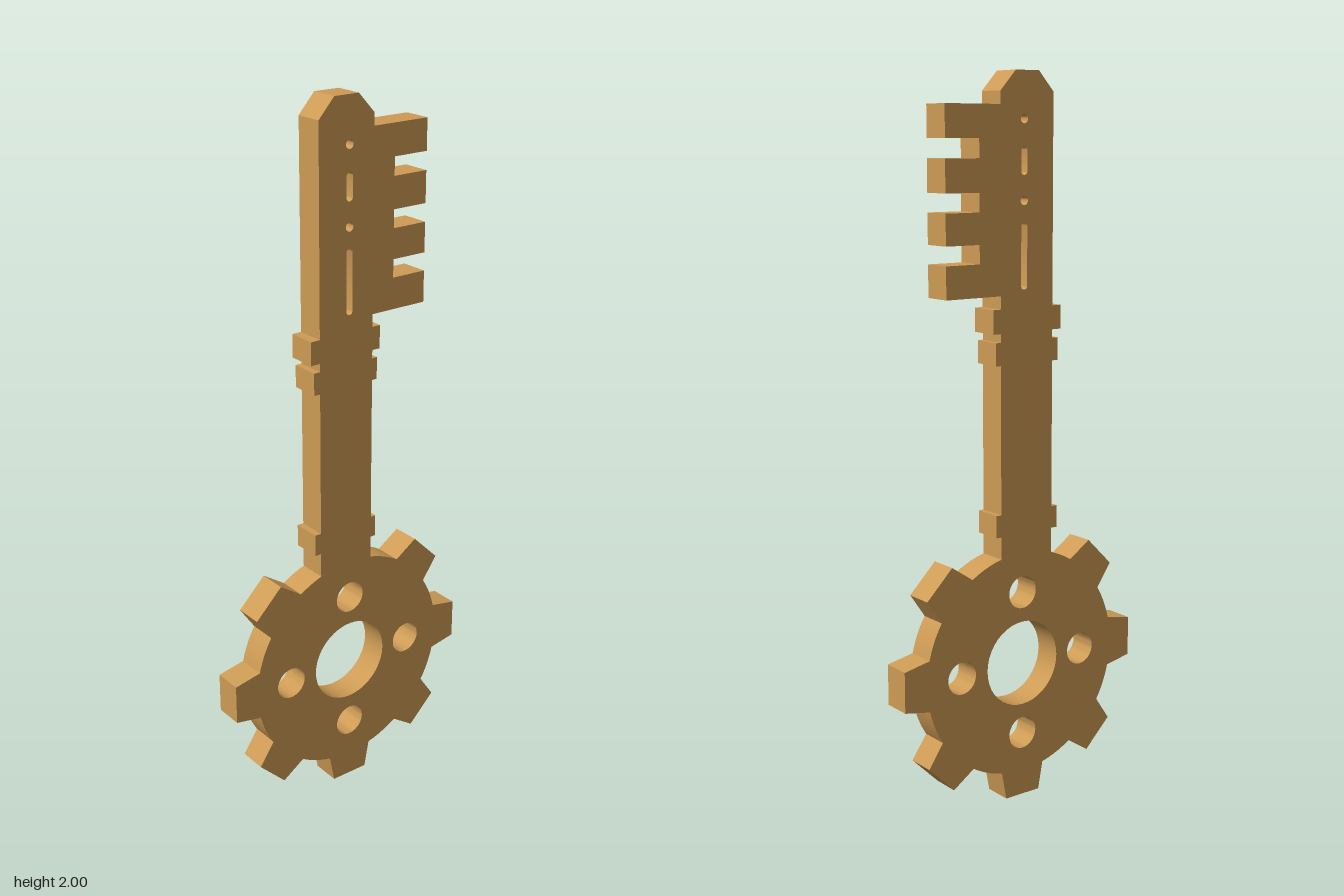
import * as THREE from 'three';
import { toCreasedNormals } from 'three/addons/utils/BufferGeometryUtils.js';

const THICKNESS = 0.082;
const CY = 0.391;                 // centre height of the gear-shaped bow
const TIP = 0.395, ROOT = 0.32;   // tooth corner and valley radii
const LEFT = -0.1, RIGHT = 0.073; // shank edges

const polar = (r, deg) => {
  const a = THREE.MathUtils.degToRad(deg);
  return [r * Math.cos(a), CY + r * Math.sin(a)];
};

// Seven tapered teeth, running round from the shank's left to its right
function gearOutline() {
  const pts = [];
  const valley = (a, b) => {
    for (let i = 0; i <= 5; i++) pts.push(polar(ROOT, a + (b - a) * i / 5));
  };
  let from = 90 + THREE.MathUtils.radToDeg(Math.asin(-LEFT / ROOT));
  for (let tooth = 135; tooth <= 405; tooth += 45) {
    valley(from, tooth - 13);
    pts.push(polar(TIP, tooth - 8.3), polar(TIP, tooth + 8.3));
    from = tooth + 13;
  }
  valley(from, 450 - THREE.MathUtils.radToDeg(Math.asin(RIGHT / ROOT)));
  return pts;
}

// Raised collars on the shank: bottom, top, left edge, right edge
const collars = [
  [0.765, 0.827, -0.119, 0.089],
  [1.235, 1.297, -0.119, 0.089],
  [1.32, 1.385, -0.128, 0.098],
];

// Teeth of the bit: bottom, top
const bitTeeth = [[1.42, 1.507], [1.557, 1.64], [1.69, 1.777], [1.827, 1.913]];

function keyOutline() {
  const pts = gearOutline();
  // right edge going up
  for (const [b, t, , r] of collars) pts.push([RIGHT, b], [r, b], [r, t], [RIGHT, t]);
  pts.push([RIGHT, bitTeeth[0][0]]);
  bitTeeth.forEach(([b, t], i) => {
    if (i > 0) pts.push([0.141, b]);
    pts.push([0.247, b], [0.247, t]);
    if (i < bitTeeth.length - 1) pts.push([0.141, t]);
  });
  pts.push([RIGHT, 1.913]);
  // chamfered end
  pts.push([RIGHT, 1.947], [0.024, 2], [-0.052, 2], [LEFT, 1.947]);
  // left edge going down
  for (const [b, t, l] of [...collars].reverse()) pts.push([LEFT, t], [l, t], [l, b], [LEFT, b]);
  return pts.map(([x, y]) => new THREE.Vector2(x, y));
}

const roundHole = (x, y, r) => new THREE.Path().absarc(x, y, r, 0, Math.PI * 2, true);

// Upright slot with rounded ends
function slotHole(x, y0, y1, r) {
  const p = new THREE.Path();
  p.absarc(x, y1 - r, r, Math.PI, 0, true);
  p.absarc(x, y0 + r, r, 0, -Math.PI, true);
  p.closePath();
  return p;
}

export function createModel() {
  const brass = new THREE.MeshStandardMaterial({ color: 0xcd9b55 });
  brass.name = 'brass';

  const shape = new THREE.Shape(keyOutline());
  // bow: large centre hole and four small ones
  shape.holes.push(roundHole(0, CY, 0.121));
  for (let a = 0; a < 360; a += 90) shape.holes.push(roundHole(...polar(0.206, a), 0.046));
  // blade: two pin holes and two slots
  shape.holes.push(
    roundHole(-0.004, 1.877, 0.012),
    roundHole(-0.004, 1.667, 0.012),
    slotHole(-0.004, 1.733, 1.807, 0.01),
    slotHole(-0.004, 1.433, 1.61, 0.01),
  );

  const geometry = new THREE.ExtrudeGeometry(shape, {
    depth: THICKNESS, bevelEnabled: false, curveSegments: 20,
  });
  geometry.translate(0, 0, -THICKNESS / 2);

  const key = new THREE.Mesh(toCreasedNormals(geometry, 0.4), brass);
  key.name = 'keyBody';
  key.rotation.y = Math.PI / 6; // the key stands turned to one side

  const model = new THREE.Group();
  model.name = 'gearKey';
  model.add(key);
  return model;
}
